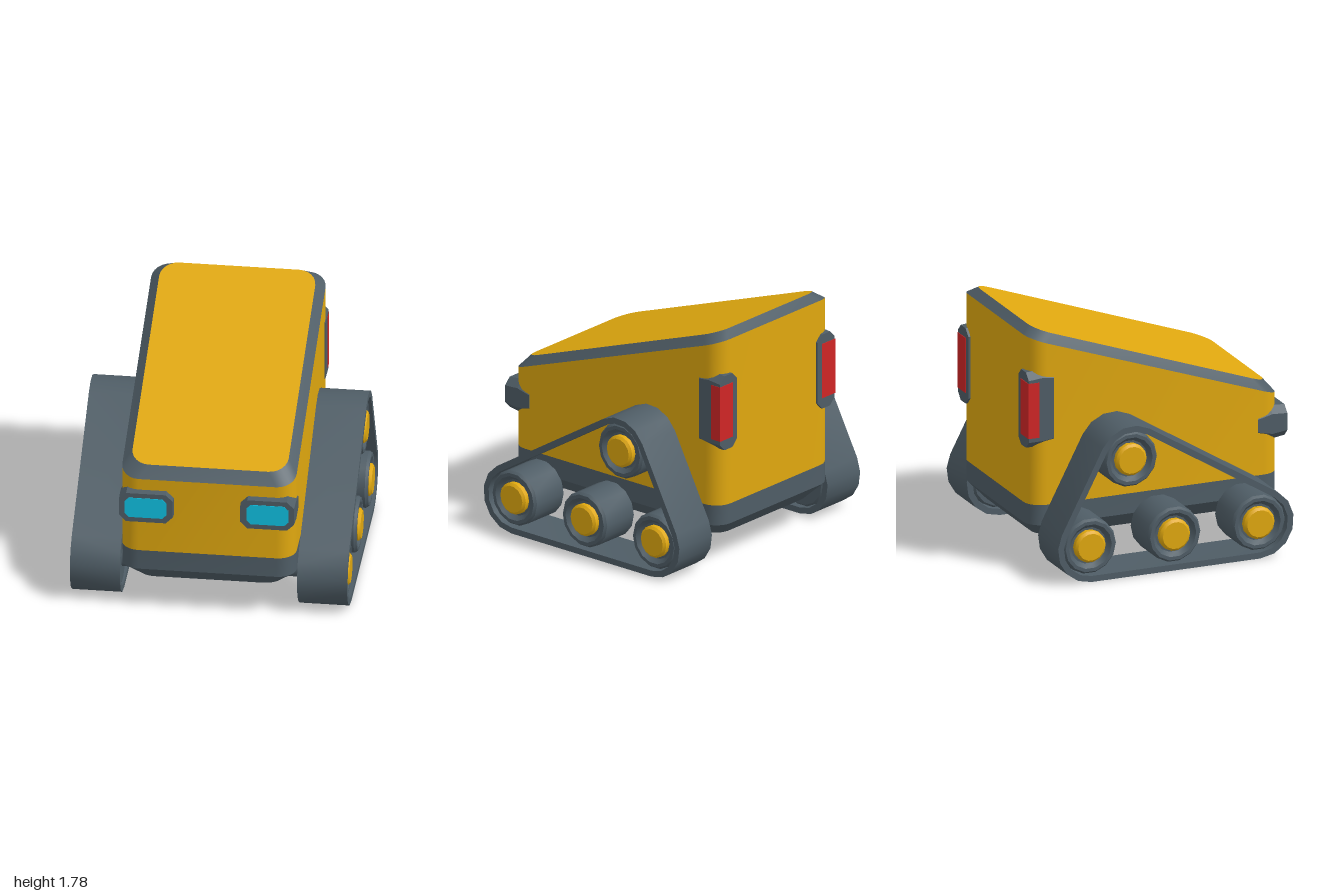
import * as THREE from 'three';
import { toCreasedNormals } from 'three/addons/utils/BufferGeometryUtils.js';

const mat = (name, color) => {
  const m = new THREE.MeshStandardMaterial({ color });
  m.name = name;
  return m;
};

// Skin through equal-sized rings of points, closed at either end if asked.
// Rings run clockwise when seen from the last ring's end.
function loft(rings, capStart, capEnd, crease = 0.6) {
  const pos = [];
  const tri = (a, b, c) => pos.push(...a, ...b, ...c);
  const n = rings[0].length;
  for (let r = 0; r + 1 < rings.length; r++) {
    const a = rings[r], b = rings[r + 1];
    for (let i = 0; i < n; i++) {
      const j = (i + 1) % n;
      tri(a[i], b[i], a[j]);
      tri(a[j], b[i], b[j]);
    }
  }
  const first = rings[0], last = rings[rings.length - 1];
  for (let i = 1; i + 1 < n; i++) {
    if (capStart) tri(first[0], first[i], first[i + 1]);
    if (capEnd) tri(last[0], last[i + 1], last[i]);
  }
  const g = new THREE.BufferGeometry();
  g.setAttribute('position', new THREE.Float32BufferAttribute(pos, 3));
  return toCreasedNormals(g, crease);
}

// Rounded-rectangle body ring, height given as a function of z
function bodyRing(inset, yAt, radius = 0.13) {
  const hx = 0.62 - inset - radius, hz = 0.9625 - inset - radius, steps = 6;
  const pts = [];
  [[1, 1], [-1, 1], [-1, -1], [1, -1]].forEach(([sx, sz], q) => {
    for (let k = 0; k <= steps; k++) {
      const t = (q + k / steps) * Math.PI / 2;
      const z = -0.0175 + sz * hz + radius * Math.sin(t);
      pts.push([sx * hx + radius * Math.cos(t), yAt(z), z]);
    }
  });
  return pts;
}

// Chamfered rectangle in the xy plane
const octagon = (x0, x1, y0, y1, c, z) => [
  [x0, y0 + c], [x0, y1 - c], [x0 + c, y1], [x1 - c, y1],
  [x1, y1 - c], [x1, y0 + c], [x1 - c, y0], [x0 + c, y0],
].map(([x, y]) => [x, y, z]);

// Outline wrapped around three equal circles, counter-clockwise
function beltOutline(centers, radius) {
  const n = centers.length, pts = [];
  const normal = (a, b) => Math.atan2(b[1] - a[1], b[0] - a[0]) - Math.PI / 2;
  centers.forEach((c, i) => {
    const a0 = normal(centers[(i + n - 1) % n], c);
    let a1 = normal(c, centers[(i + 1) % n]);
    while (a1 < a0) a1 += Math.PI * 2;
    const steps = Math.ceil((a1 - a0) / 0.45);
    for (let k = 0; k <= steps; k++) {
      const a = a0 + (a1 - a0) * k / steps;
      pts.push(new THREE.Vector2(c[0] + radius * Math.cos(a), c[1] + radius * Math.sin(a)));
    }
  });
  return pts;
}

// Turned part around the x axis; profile is [radius, x]
function turned(profile, sides) {
  const g = new THREE.LatheGeometry(profile.map(([r, x]) => new THREE.Vector2(r, x)), sides);
  g.rotateZ(-Math.PI / 2);
  return toCreasedNormals(g, 0.6);
}

export function createModel() {
  const yellow = mat('yellowPaint', 0xe0a80f);
  const slate = mat('slateGrey', 0x4f5d66);
  const cyan = mat('cyanLens', 0x10c2e4);
  const red = mat('redLens', 0xd02626);

  const model = new THREE.Group();
  model.name = 'trackedVehicle';
  const add = (parent, name, geometry, material) => {
    const m = new THREE.Mesh(geometry, material);
    m.name = name;
    parent.add(m);
    return m;
  };

  // Body: dark skirt, painted walls, dark sloping trim and painted lid
  const bottom = bodyRing(0.1, () => 0.23);
  const skirtLow = bodyRing(0, () => 0.34);
  const skirtTop = bodyRing(0, () => 0.49);
  const wallTop = bodyRing(0, z => 1.065 + 0.348 * (0.945 - z));
  const lidEdge = bodyRing(0.065, z => 1.15 + 0.353 * (0.88 - z));
  add(model, 'skirt', loft([bottom, skirtLow, skirtTop], true, false), slate);
  add(model, 'bodyWalls', loft([skirtTop, wallTop], false, false), yellow);
  add(model, 'lidTrim', loft([wallTop, lidEdge], false, false), slate);
  add(model, 'lid', loft([lidEdge], false, true), yellow);

  // Wheel centres as [-z, y]
  const ground = [[-0.63, 0.26], [0.02, 0.26], [0.67, 0.26]];
  const upper = [0.355, 0.865];
  const wheels = [...ground, upper];
  const loop = [ground[0], ground[2], upper];

  const beltShape = new THREE.Shape(beltOutline(loop, 0.257));
  beltShape.holes.push(new THREE.Path(beltOutline(loop, 0.212)));
  const beltGeo = new THREE.ExtrudeGeometry(beltShape, { depth: 0.355, bevelEnabled: false });
  beltGeo.rotateY(Math.PI / 2).translate(0.63, 0, 0);
  const belt = toCreasedNormals(beltGeo, 0.6);

  const wheel = turned([[0, 0.64], [0.19, 0.64], [0.205, 0.655], [0.205, 0.945],
    [0.19, 0.965], [0.165, 0.965], [0.135, 0.93], [0, 0.93]], 14);
  const hub = turned([[0.118, 0.92], [0.118, 0.965], [0.1, 0.982], [0, 0.982]], 14);

  // Lamp housings and lenses
  const headHousing = loft([
    octagon(0.27, 0.625, 0.765, 0.95, 0.045, 0.77),
    octagon(0.235, 0.625, 0.73, 0.987, 0.055, 0.88),
    octagon(0.24, 0.622, 0.748, 0.975, 0.05, 0.996)], true, true, 0.1);
  const headLens = loft([0.993, 1].map(z => octagon(0.285, 0.582, 0.785, 0.94, 0.03, z)), true, true);
  const tailHousing = loft([
    octagon(0.44, 0.625, 0.92, 1.48, 0.05, -0.996),
    octagon(0.44, 0.625, 0.92, 1.49, 0.05, -0.89),
    octagon(0.48, 0.625, 0.96, 1.45, 0.02, -0.8)], true, true, 0.1);
  const tailRear = new THREE.BoxGeometry(0.143, 0.41, 0.008).translate(0.5565, 1.205, -0.996);
  const tailSide = new THREE.BoxGeometry(0.008, 0.41, 0.085).translate(0.624, 1.205, -0.9575);

  for (const [side, s] of [['left', 1], ['right', -1]]) {
    const half = new THREE.Group();
    half.name = side + 'Side';
    half.scale.x = s;
    model.add(half);
    add(half, 'trackBelt', belt, slate);
    for (const [u, y] of wheels) {
      add(half, 'wheel', wheel, slate).position.set(0, y, -u);
      add(half, 'wheelHub', hub, yellow).position.set(0, y, -u);
    }
    add(half, 'headlightHousing', headHousing, slate);
    add(half, 'headlightLens', headLens, cyan);
    add(half, 'tailLightHousing', tailHousing, slate);
    add(half, 'tailLightRear', tailRear, red);
    add(half, 'tailLightSide', tailSide, red);
  }

  // Axles across the body; the driven ones at the back are painted
  const axle = (name, [u, y], x0, x1, material) => {
    const g = new THREE.CylinderGeometry(0.075, 0.075, x1 - x0, 14).rotateZ(Math.PI / 2);
    add(model, name, g, material).position.set((x0 + x1) / 2, y, -u);
  };
  wheels.forEach((w, i) => {
    const driven = i >= 2;
    axle('axle', w, -0.62, 0.66, driven ? yellow : slate);
    axle('axleEnd', w, -0.66, -0.62, slate);
  });

  return model;
}
